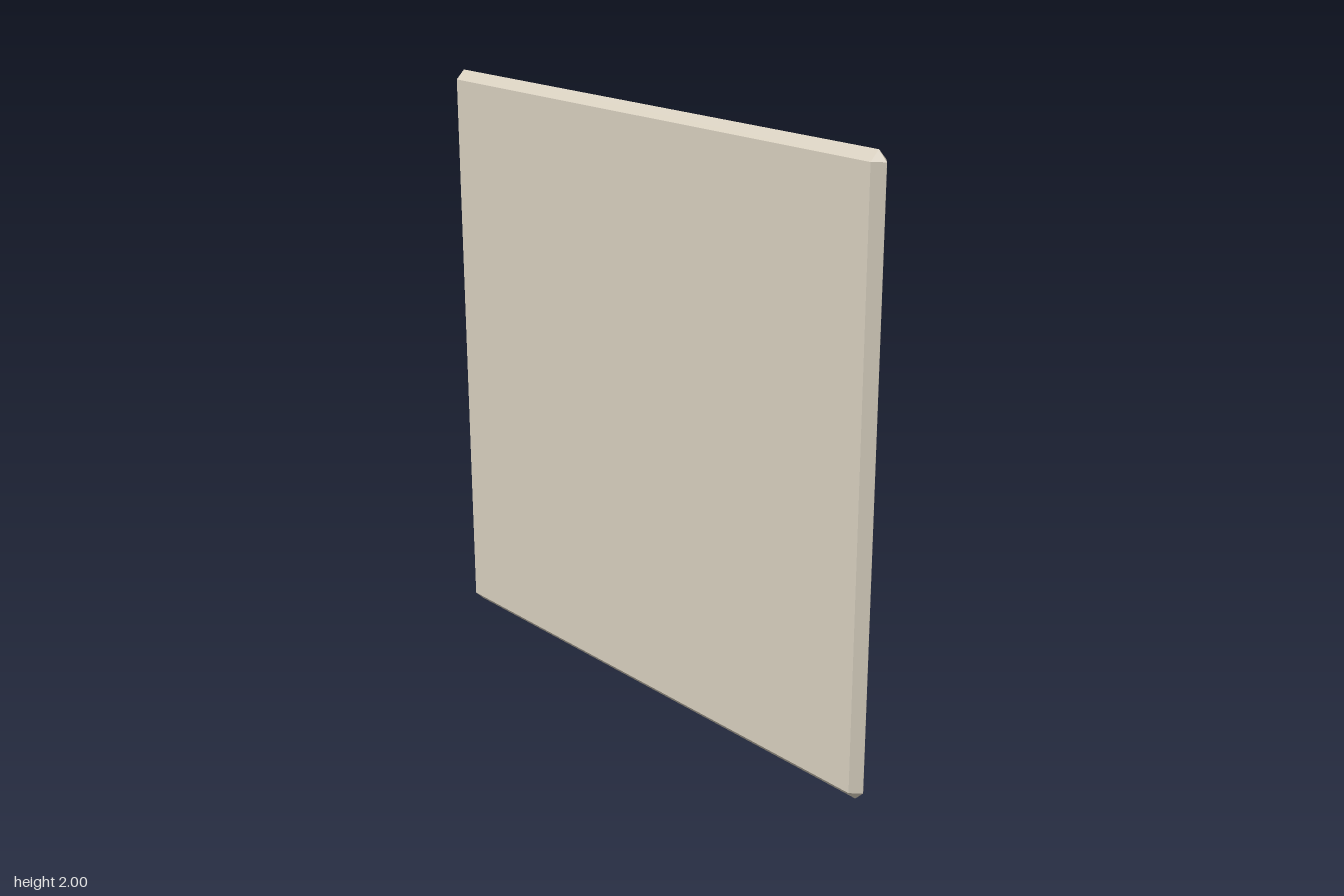
import * as THREE from 'three';
import { ConvexGeometry } from 'three/addons/geometries/ConvexGeometry.js';

const paint = (name, color) => {
  const m = new THREE.MeshStandardMaterial({ color, flatShading: true });
  m.name = name;
  return m;
};

export function createModel() {
  const beige = paint('warm beige', 0xd4ccbc);
  const brass = paint('brass tan', 0xc8aa74);
  const dark = paint('charcoal', 0x3c3c40);
  const brown = paint('needle brown', 0x8c6450);
  const root = new THREE.Group();
  root.name = 'gaugePanel';

  const add = (name, geo, mat, x = 0, y = 0, z = 0) => {
    const mesh = new THREE.Mesh(geo, mat);
    mesh.name = name;
    mesh.position.set(x, y, z);
    root.add(mesh);
    return mesh;
  };

  // Plain box spanning y0..y1 and z0..z1, centred on x
  const slab = (name, mat, w, y0, y1, z0, z1) =>
    add(name, new THREE.BoxGeometry(w, y1 - y0, z1 - z0), mat, 0, (y0 + y1) / 2, (z0 + z1) / 2);

  // Box with chamfered edges
  const bevelSlab = (name, mat, w, y0, y1, z0, z1, r) => {
    const hx = w / 2, hy = (y1 - y0) / 2, hz = (z1 - z0) / 2;
    const pts = [];
    for (const a of [-1, 1]) for (const b of [-1, 1]) for (const c of [-1, 1]) {
      pts.push(
        new THREE.Vector3(a * hx, b * (hy - r), c * (hz - r)),
        new THREE.Vector3(a * (hx - r), b * hy, c * (hz - r)),
        new THREE.Vector3(a * (hx - r), b * (hy - r), c * hz));
    }
    return add(name, new ConvexGeometry(pts), mat, 0, (y0 + y1) / 2, (z0 + z1) / 2);
  };

  // Polygonal disc facing -z; rBack at z1, rFront at z0
  const disc = (name, mat, rBack, rFront, sides, x, y, z0, z1) => {
    const geo = new THREE.CylinderGeometry(rFront, rBack, z1 - z0, sides);
    geo.rotateX(-Math.PI / 2);
    return add(name, geo, mat, x, y, (z0 + z1) / 2);
  };

  // Stacked panels
  bevelSlab('backPlate', beige, 2, 0, 2, 0.078, 0.141, 0.031);
  slab('raisedPlate', beige, 1.77, 0.1, 1.9, 0.055, 0.085);
  bevelSlab('gaugePanelPlate', beige, 1.36, 0.56, 1.94, 0.032, 0.072, 0.018);
  slab('gaugeBackingPlate', beige, 1.24, 0.63, 1.87, 0.01, 0.04);
  bevelSlab('displayPlate', beige, 1.76, 0.015, 0.615, 0.025, 0.069, 0.02);

  // Display with brass rim
  slab('displayRim', brass, 1.72, 0.045, 0.59, 0.021, 0.035);
  slab('displayScreen', dark, 1.67, 0.07, 0.565, 0.006, 0.03);

  // Hexagonal bolts
  for (const s of [-1, 1]) {
    for (const y of [0.105, 1.9]) disc('outerBolt', brass, 0.04, 0.04, 6, s * 0.89, y, 0.045, 0.085);
    for (const y of [0.635, 1.87]) disc('innerBolt', brass, 0.025, 0.025, 6, s * 0.62, y, 0.003, 0.035);
    disc('displayBolt', brass, 0.028, 0.028, 6, s * 0.835, 0.315, -0.003, 0.03);
  }

  // Gauge: bezel with chamfered lip, then the dial
  const cy = 1.255;
  disc('bezel', brass, 0.6, 0.6, 12, 0, cy, -0.042, 0.012);
  disc('bezelLip', brass, 0.6, 0.583, 12, 0, cy, -0.058, -0.042);
  disc('dial', beige, 0.515, 0.515, 12, 0, cy, -0.097, -0.05);

  // Dial marks fanned around the hub
  const hubY = 1.115;
  for (const deg of [22.5, 45, 67.5, 112.5, 135, 157.5]) {
    const t = THREE.MathUtils.degToRad(deg);
    add('dialMark', new THREE.BoxGeometry(0.08, 0.028, 0.03), dark,
      0.435 * Math.cos(t), hubY + 0.435 * Math.sin(t), -0.1).rotation.z = t;
  }

  // Needle and hub
  slab('needle', brown, 0.045, hubY, 1.625, -0.131, -0.09);
  disc('needleHub', dark, 0.057, 0.057, 6, 0, hubY, -0.141, -0.09);

  return root;
}
